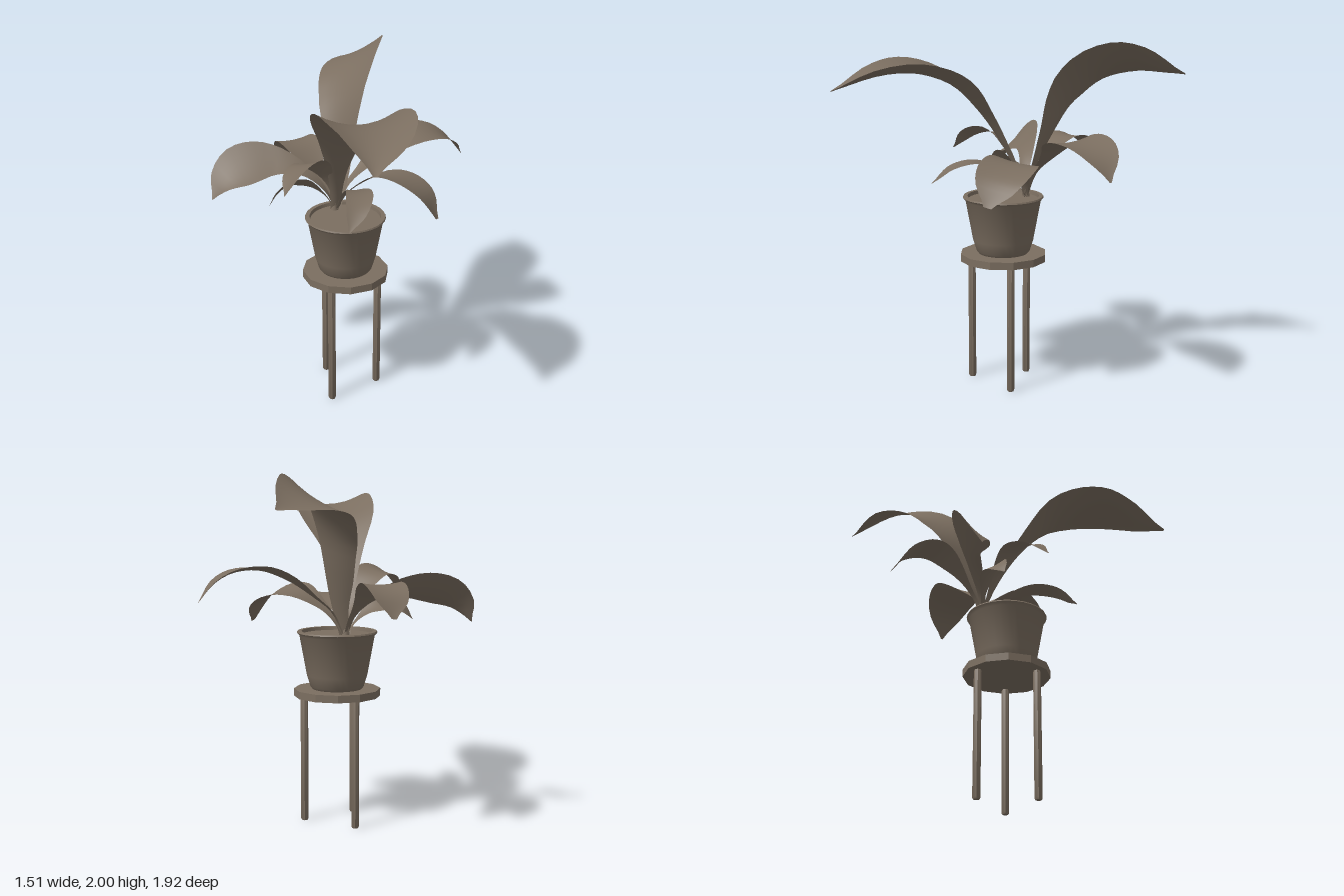
import * as THREE from 'three';
import { toCreasedNormals } from 'three/addons/utils/BufferGeometryUtils.js';

const clay = new THREE.MeshStandardMaterial({ color: 0x7b6e60, side: THREE.DoubleSide });
clay.name = 'warm brown clay';

function add(parent, name, geometry) {
  const mesh = new THREE.Mesh(geometry, clay);
  mesh.name = name;
  parent.add(mesh);
  return mesh;
}

// Turned solid from [radius, height] pairs, bottom to top
function turned(profile, sides) {
  const points = profile.map(([r, y]) => new THREE.Vector2(r, y));
  return toCreasedNormals(new THREE.LatheGeometry(points, sides), 0.7);
}

const BROAD = [0.1, 0.13, 0.22, 0.5, 0.88, 1, 0.92, 0.62, 0.04];

// Leaf blade swept along a spine; roll tilts it, cup lifts its edges
function leafGeometry({ spine, half, roll = 0, cup = 0.2, widths = BROAD }) {
  const curve = new THREE.CatmullRomCurve3(
    [[-0.04, 1.09, -0.14], ...spine].map((p) => new THREE.Vector3(...p)), false, 'centripetal');
  const widthCurve = new THREE.SplineCurve(widths.map((w, i) => new THREE.Vector2(i, w)));
  const rows = 24, cols = 8, positions = [], index = [];
  const start = curve.getPoint(0), end = curve.getPoint(1);
  const dir = new THREE.Vector3(end.x - start.x, 0, end.z - start.z).normalize();
  const side = new THREE.Vector3(dir.z, 0, -dir.x);
  for (let i = 0; i <= rows; i++) {
    const t = i / rows, p = curve.getPointAt(t), tangent = curve.getTangentAt(t);
    const normal = new THREE.Vector3().crossVectors(tangent, side).normalize();
    const across = new THREE.Vector3().crossVectors(normal, tangent).normalize();
    const w = Math.max(0.003, half * widthCurve.getPoint(t).y);
    const r = roll * Math.min(1, t * 2);
    for (let j = 0; j <= cols; j++) {
      const s = (j / cols) * 2 - 1;
      const q = p.clone()
        .addScaledVector(across, s * w * Math.cos(r))
        .addScaledVector(normal, s * w * Math.sin(r) + cup * w * s * s);
      positions.push(q.x, q.y, q.z);
      if (i < rows && j < cols) {
        const a = i * (cols + 1) + j, b = a + cols + 1;
        index.push(a, a + 1, b, b, a + 1, b + 1);
      }
    }
  }
  const g = new THREE.BufferGeometry();
  g.setAttribute('position', new THREE.Float32BufferAttribute(positions, 3));
  g.setIndex(index);
  g.computeVertexNormals();
  return g;
}

const leaves = {
  frontLeaf: {
    half: 0.25, cup: 0.28, widths: [0.12, 0.16, 0.3, 0.52, 0.84, 0.98, 0.93, 0.6, 0.04],
    spine: [[-0.04, 1.25, -0.085], [-0.04, 1.43, 0.01], [-0.03, 1.6, 0.13], [0, 1.755, 0.29],
      [0.045, 1.83, 0.5], [0.06, 1.825, 0.7], [0.02, 1.74, 0.96]],
  },
  backLeaf: {
    half: 0.212, roll: -0.5, cup: 0.13, widths: [0.14, 0.24, 0.42, 0.6, 0.84, 0.98, 0.95, 0.58, 0.03],
    spine: [[-0.01, 1.28, -0.19], [0, 1.48, -0.27], [0.02, 1.68, -0.36], [0.075, 1.83, -0.51],
      [0.16, 1.88, -0.72], [0.31, 1.82, -0.96]],
  },
  leftLeaf: {
    half: 0.155, roll: 0.08, cup: 0.12,
    spine: [[0.03, 1.24, -0.17], [0.13, 1.33, -0.21], [0.27, 1.43, -0.26], [0.42, 1.485, -0.29],
      [0.57, 1.475, -0.34], [0.67, 1.42, -0.37], [0.75, 1.32, -0.39]],
  },
  rightLeaf: {
    half: 0.135, roll: -0.75, cup: 0.13, widths: [0.1, 0.15, 0.26, 0.42, 0.66, 0.94, 1, 0.65, 0.03],
    spine: [[-0.1, 1.22, -0.15], [-0.22, 1.33, -0.19], [-0.4, 1.375, -0.23], [-0.55, 1.36, -0.22],
      [-0.67, 1.3, -0.19], [-0.75, 1.19, -0.16]],
  },
  backRightLeaf: {
    half: 0.12, cup: 0.1, widths: [0.1, 0.13, 0.22, 0.5, 0.85, 1, 0.96, 0.75, 0.12],
    spine: [[-0.08, 1.22, -0.2], [-0.16, 1.35, -0.31], [-0.225, 1.42, -0.43], [-0.26, 1.38, -0.56],
      [-0.28, 1.26, -0.66]],
  },
  frontRightLeaf: {
    half: 0.095, cup: 0.1, roll: 0.3,
    spine: [[-0.07, 1.25, -0.1], [-0.13, 1.38, -0.04], [-0.21, 1.46, 0.03], [-0.3, 1.44, 0.13],
      [-0.36, 1.35, 0.22]],
  },
  frontLeftLeaf: {
    half: 0.15, cup: 0.08, roll: -0.18, widths: [0.1, 0.15, 0.28, 0.58, 0.9, 1, 0.95, 0.7, 0.15],
    spine: [[0.02, 1.2, -0.12], [0.1, 1.28, -0.08], [0.21, 1.345, -0.03], [0.32, 1.345, 0.04],
      [0.43, 1.28, 0.13], [0.49, 1.16, 0.2]],
  },
  lowRightLeaf: {
    half: 0.07, cup: 0.1, roll: 0.6,
    spine: [[-0.1, 1.19, -0.14], [-0.2, 1.27, -0.12], [-0.3, 1.29, -0.09], [-0.38, 1.25, -0.06],
      [-0.43, 1.19, -0.03]],
  },
  lowFrontLeaf: {
    half: 0.075, cup: 0.1,
    spine: [[0, 1.22, -0.07], [0.05, 1.3, 0.06], [0.055, 1.325, 0.18], [0.03, 1.295, 0.3],
      [-0.03, 1.2, 0.41]],
  },
};

export function createModel() {
  const model = new THREE.Group();
  model.name = 'pottedPlantOnStool';

  // Stool: faceted round seat on three slim legs
  const stool = new THREE.Group();
  stool.name = 'stool';
  model.add(stool);
  add(stool, 'seat', toCreasedNormals(new THREE.CylinderGeometry(0.25, 0.25, 0.043, 12), 0.2))
    .position.y = 0.764;
  const legShape = turned([[0, 0], [0.018, 0], [0.022, 0.01], [0.022, 0.733], [0.018, 0.744], [0, 0.744]], 8);
  for (const [x, z] of [[0.19, 0], [-0.1, 0.165], [-0.1, -0.165]]) {
    add(stool, 'leg', legShape).position.set(x, 0, z);
  }

  // Pot with a flared rim, and the soil inside
  add(model, 'pot', turned([[0, 0.785], [0.143, 0.785], [0.155, 0.8], [0.175, 0.865], [0.217, 1.095],
    [0.232, 1.112], [0.228, 1.12], [0.205, 1.12], [0.2, 1.09]], 32));
  const soil = add(model, 'soil', new THREE.CircleGeometry(0.202, 32));
  soil.rotation.x = -Math.PI / 2;
  soil.position.y = 1.1;

  // Plant: leaves fanning out from one crown, with a small bud
  const plant = new THREE.Group();
  plant.name = 'plant';
  model.add(plant);
  for (const [name, leaf] of Object.entries(leaves)) add(plant, name, leafGeometry(leaf));
  const bud = add(plant, 'bud', new THREE.ConeGeometry(0.025, 0.14, 10));
  bud.position.set(-0.045, 1.16, -0.145);

  return model;
}
